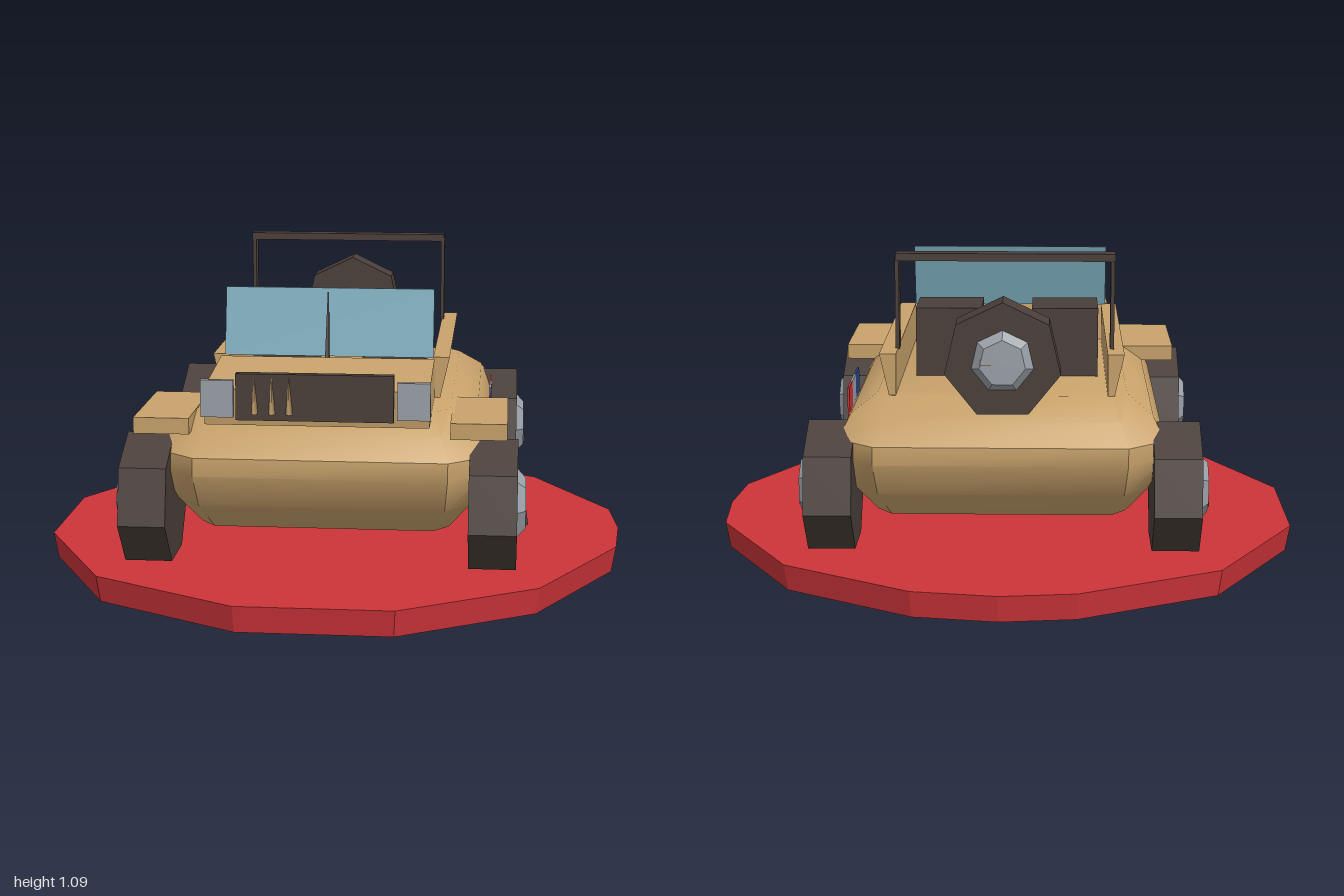
import * as THREE from 'three';
import { toCreasedNormals } from 'three/addons/utils/BufferGeometryUtils.js';

const material = (name, color, flat = false) => {
  const m = new THREE.MeshStandardMaterial({ color, flatShading: flat });
  m.name = name;
  return m;
};

// Four corners of a rectangle; y may differ between its back and front edge
const rect = (x0, x1, z0, z1, yBack, yFront = yBack) =>
  [[x1, yBack, z0], [x1, yFront, z1], [x0, yFront, z1], [x0, yBack, z0]];

// Rectangle with cut corners, symmetric about the middle
const octagon = (y, hx, hz, cx, cz) => [
  [hx, y, -hz + cz], [hx, y, hz - cz], [hx - cx, y, hz], [-hx + cx, y, hz],
  [-hx, y, hz - cz], [-hx, y, -hz + cz], [-hx + cx, y, -hz], [hx - cx, y, -hz],
];

// Closed skin through rows of points, listed from bottom to top
function loft(rows) {
  const n = rows[0].length, pos = [];
  const tri = (...pts) => pts.forEach(p => pos.push(...p));
  for (let r = 0; r < rows.length - 1; r++) {
    for (let i = 0; i < n; i++) {
      const j = (i + 1) % n, lo = rows[r], hi = rows[r + 1];
      tri(lo[i], hi[i], lo[j]);
      tri(lo[j], hi[i], hi[j]);
    }
  }
  const bottom = rows[0], top = rows[rows.length - 1];
  for (let i = 1; i < n - 1; i++) {
    tri(bottom[0], bottom[i], bottom[i + 1]);
    tri(top[0], top[i + 1], top[i]);
  }
  const g = new THREE.BufferGeometry();
  g.setAttribute('position', new THREE.Float32BufferAttribute(pos, 3));
  g.computeVertexNormals();
  return g;
}

export function createModel() {
  const tan = material('tan paint', 0xc8a26b, false);
  const dark = material('dark rubber', 0x4a3f3a, true);
  const grey = material('light grey', 0x9aa1a8, true);
  const red = material('red', 0xcd343a, true);
  const blue = material('blue', 0x2b4686, true);
  const glass = material('glass', 0x7aaabb, true);

  const model = new THREE.Group();
  model.name = 'jeepOnStand';
  const add = (name, geometry, mat, parent = model) => {
    const mesh = new THREE.Mesh(geometry, mat);
    mesh.name = name;
    parent.add(mesh);
    return mesh;
  };
  const box = (name, mat, x0, x1, y0, y1, z0, z1, parent) => {
    const mesh = add(name, new THREE.BoxGeometry(x1 - x0, y1 - y0, z1 - z0), mat, parent);
    mesh.position.set((x0 + x1) / 2, (y0 + y1) / 2, (z0 + z1) / 2);
    return mesh;
  };

  // Uneven many-sided stand
  const rim = [[1, 0], [0.98, 0.24], [0.71, 0.73], [0.26, 1], [-0.25, 1], [-0.74, 0.73], [-1, 0.24],
    [-1, -0.24], [-0.72, -0.73], [-0.25, -0.97], [0, -1], [0.28, -0.96], [0.71, -0.71], [0.98, -0.25]];
  const ring = (y, s) => rim.map(([x, z]) => [x * s, y, z * s]);
  add('stand', loft([ring(0, 0.985), ring(0.09, 1)]), red);

  // Rounded tub
  const tub = loft([
    octagon(0.24, 0.41, 0.62, 0.05, 0.06),
    octagon(0.33, 0.48, 0.70, 0.08, 0.09),
    octagon(0.44, 0.53, 0.755, 0.12, 0.10),
    octagon(0.50, 0.53, 0.75, 0.12, 0.10),
    octagon(0.57, 0.495, 0.69, 0.11, 0.10),
    octagon(0.63, 0.41, 0.58, 0.05, 0.06),
  ]);
  add('tub', toCreasedNormals(tub, 0.62), tan);

  // Hood, sloping down to the front
  add('hood', loft([
    rect(-0.37, 0.35, 0.355, 0.735, 0.61),
    rect(-0.37, 0.35, 0.37, 0.75, 0.765, 0.73),
  ]), tan);

  // Side rails, wider at the top, and front fenders
  for (const s of [1, -1]) {
    const inner = 0.335 * s, low = 0.365 * s, high = 0.4 * s;
    const span = (a, b, y) => rect(Math.min(a, b), Math.max(a, b), -0.57, 0.35, y);
    add('sideRail', loft([span(inner + 0.012 * s, low, 0.61), span(inner + 0.01 * s, high, 0.768)]), tan);
    const x0 = s > 0 ? 0.415 : -0.61;
    box('fender', tan, x0, x0 + 0.182, 0.567, 0.62, 0.285, 0.70);
  }

  // Grille with three slashes, and square headlights
  box('grille', dark, -0.26, 0.24, 0.64, 0.79, 0.77, 0.80);
  for (const x of [-0.2, -0.145, -0.09]) {
    const slash = add('grilleSlash', new THREE.ConeGeometry(0.013, 0.12, 3), tan);
    slash.position.set(x, 0.72, 0.803);
    slash.scale.z = 0.6;
  }
  box('headlight', grey, -0.375, -0.27, 0.645, 0.765, 0.765, 0.785);
  box('headlight', grey, 0.25, 0.355, 0.645, 0.765, 0.765, 0.785);

  // Leaning windshield and wiper
  add('windshield', loft([
    rect(-0.36, 0.345, 0.34, 0.348, 0.765),
    rect(-0.36, 0.345, 0.29, 0.298, 0.99),
  ]), glass);
  add('wiper', loft([
    rect(-0.018, -0.004, 0.35, 0.375, 0.76),
    rect(-0.013, -0.009, 0.322, 0.326, 0.98),
  ]), dark);

  // Seats
  for (const x of [-0.32, 0.075]) box('seat', dark, x, x + 0.225, 0.62, 0.865, -0.275, -0.065);

  // Roll bar
  const rollBar = new THREE.Group();
  rollBar.name = 'rollBar';
  model.add(rollBar);
  for (const x of [-0.368, 0.34]) box('post', dark, x, x + 0.013, 0.765, 1.075, -0.48, -0.425, rollBar);
  box('crossBar', dark, -0.37, 0.35, 1.06, 1.085, -0.485, -0.43, rollBar);

  // Seven-sided wheel with its axis along y and the hub on top
  const wheel = (name, radius, width) => {
    const g = new THREE.Group();
    g.name = name;
    add('tyre', new THREE.CylinderGeometry(radius, radius, width, 7), dark, g);
    const k = radius / 0.215;
    const hub = add('hub', new THREE.CylinderGeometry(0.085 * k, 0.115 * k, 0.028, 7), grey, g);
    hub.position.y = width / 2 + 0.014;
    const mark = add('hubMark', new THREE.ConeGeometry(0.013, 0.08, 3), dark, g);
    mark.rotation.z = Math.PI / 2;
    mark.position.set(0.03, width / 2 + 0.026, 0);
    model.add(g);
    return g;
  };
  for (const s of [1, -1]) {
    for (const z of [0.6, -0.585]) {
      const w = wheel('roadWheel', 0.217, 0.155);
      w.rotation.z = -s * Math.PI / 2;
      w.position.set(s > 0 ? 0.555 : -0.57, 0.333, z);
      // turn each tyre so that a corner points up, marks hang down
      w.children[0].rotation.y = s > 0 ? -Math.PI / 2 : Math.PI / 2;
      w.children[2].position.x *= s;
      w.children[2].rotation.z *= -1 * s * -1;
    }
  }
  const spare = wheel('spareWheel', 0.19, 0.12);
  spare.rotation.x = -Math.PI / 2;
  spare.position.set(-0.007, 0.78, -0.68);

  // Three-striped plate on the left side
  [[blue, -0.06, 0.055], [grey, -0.17, -0.06], [red, -0.275, -0.17]].forEach(([mat, z0, z1]) =>
    box('flagStripe', mat, 0.532, 0.539, 0.38, 0.585, z0, z1));

  return model;
}
